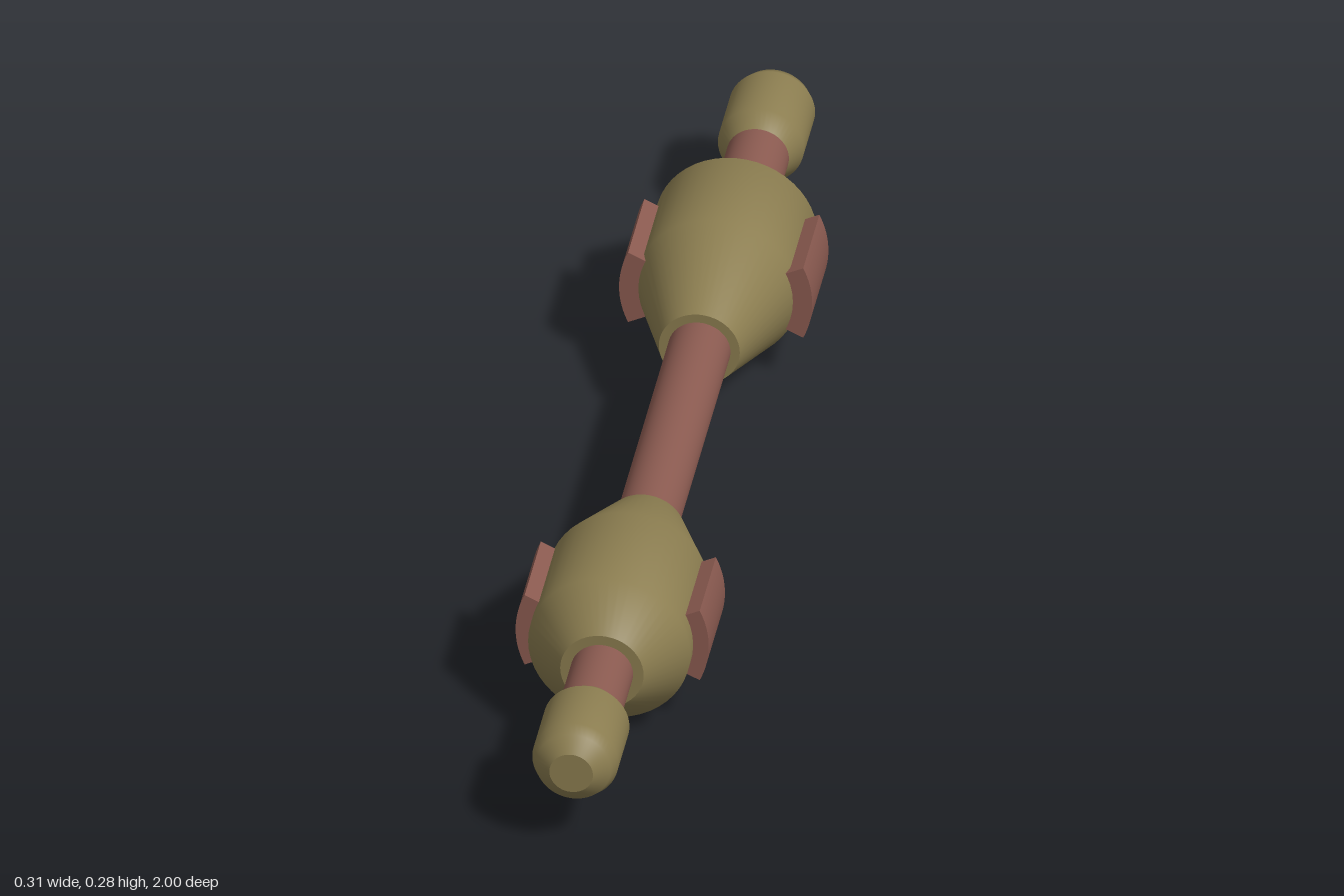
import * as THREE from 'three';

const AXIS_Y = 0.15;

export function createModel() {
  const model = new THREE.Group();
  model.name = 'doubleBarrelRod';
  const brass = new THREE.MeshStandardMaterial({ name: 'olive brass', color: 0x8b7d50 });
  const copper = new THREE.MeshStandardMaterial({ name: 'dull copper', color: 0x8a5a50 });

  const add = (name, geometry, material, x = 0, y = 0, z = 0) => {
    const mesh = new THREE.Mesh(geometry, material);
    mesh.name = name;
    mesh.position.set(x, y, z);
    model.add(mesh);
    return mesh;
  };

  // Smooth turned part along z from [radius, z] pairs, with flat end discs
  const turned = (name, profile, material) => {
    const pts = profile.map(([r, z]) => new THREE.Vector2(r, z)).sort((a, b) => a.y - b.y);
    add(name, new THREE.LatheGeometry(pts, 48).rotateX(Math.PI / 2), material, 0, AXIS_Y);
    const first = pts[0], last = pts[pts.length - 1];
    add(name + 'BackFace', new THREE.CircleGeometry(first.x, 48).rotateY(Math.PI), material, 0, AXIS_Y, first.y);
    add(name + 'FrontFace', new THREE.CircleGeometry(last.x, 48), material, 0, AXIS_Y, last.y);
  };

  // Central rod running through everything
  turned('rod', [[0.05, -0.95], [0.05, 0.95]], copper);

  // Swollen barrels
  turned('frontBarrel', [[0.065, 0.28], [0.13, 0.435], [0.13, 0.63], [0.067, 0.7]], brass);
  turned('backBarrel', [[0.065, -0.25], [0.13, -0.425], [0.13, -0.61], [0.065, -0.687]], brass);

  // Rounded end caps
  for (const [name, s] of [['front', 1], ['back', -1]]) {
    turned(name + 'EndCap',
      [[0.05, s * 0.82], [0.069, s * 0.85], [0.069, s * 0.96], [0.06, s * 0.98], [0.035, s]], brass);
  }

  // Curved side pad: a ring sector extruded along the barrel
  const padShape = new THREE.Shape();
  padShape.absarc(0, 0, 0.155, -0.436, 0.436, false);
  padShape.absarc(0, 0, 0.12, 0.436, -0.436, true);
  padShape.closePath();
  const padGeometry = new THREE.ExtrudeGeometry(padShape, { depth: 0.158, bevelEnabled: false, curveSegments: 16 });
  padGeometry.translate(0, 0, -0.079);

  for (const [name, padZ, ventZ] of [['front', 0.521, 0.527], ['back', -0.488, -0.482]]) {
    add(name + 'LeftPad', padGeometry, copper, 0, AXIS_Y, padZ);
    add(name + 'RightPad', padGeometry, copper, 0, AXIS_Y, padZ).rotation.z = Math.PI;

    // Small underside fitting: base plate, copper bars and corner pins
    add(name + 'VentPlate', new THREE.BoxGeometry(0.052, 0.014, 0.115), brass, 0, 0.019, ventZ);
    for (let i = 0; i < 4; i++) {
      const z = ventZ - 0.039 + i * 0.026;
      add(name + 'VentBar' + i, new THREE.BoxGeometry(0.042, 0.009, 0.015), copper, 0, 0.0085, z);
    }
    for (let i = 0; i < 5; i++) {
      for (const x of [-0.023, 0.023]) {
        add(name + 'VentPin', new THREE.BoxGeometry(0.005, 0.013, 0.006), brass, x, 0.0065, ventZ - 0.052 + i * 0.026);
      }
    }
  }
  return model;
}
